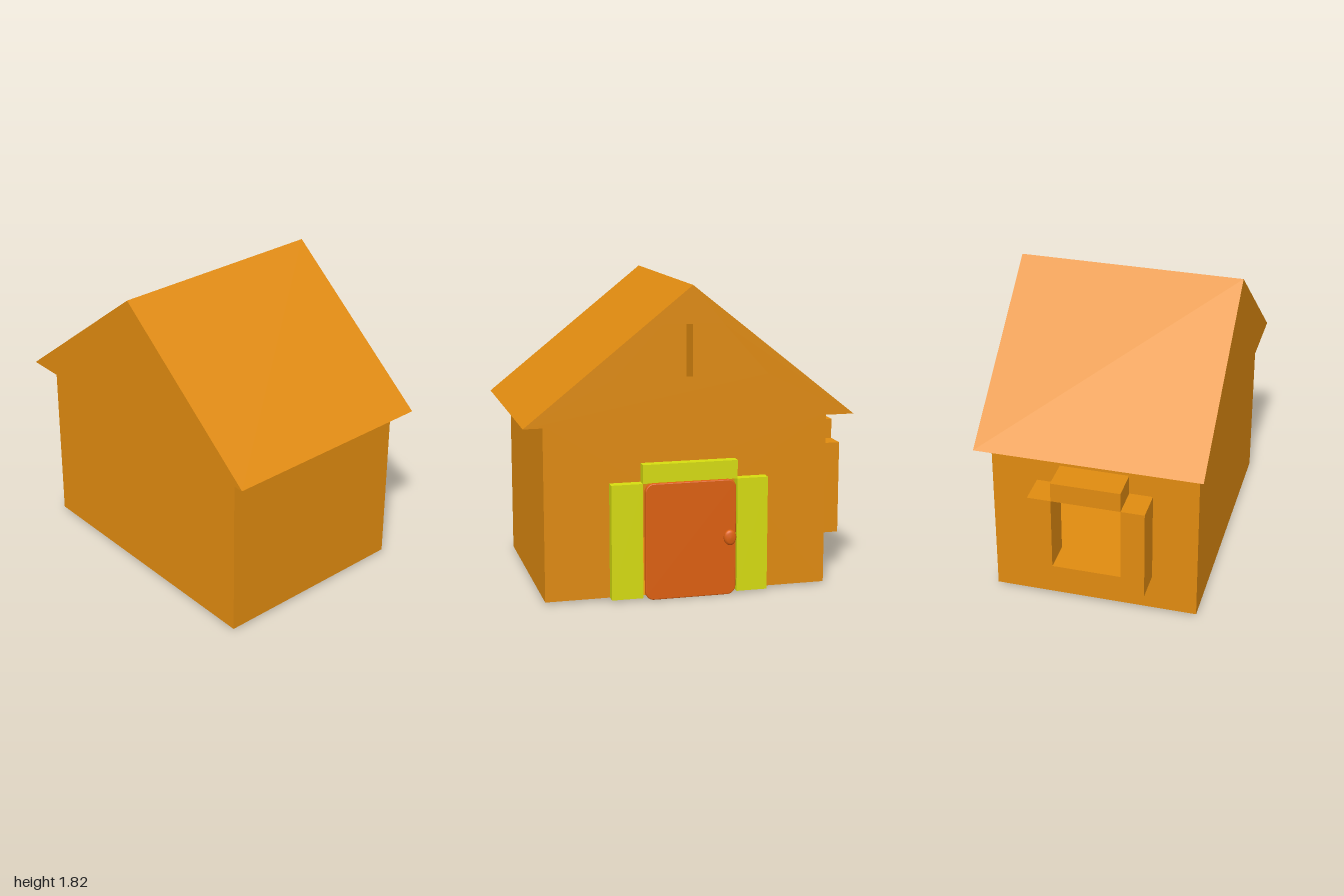
import * as THREE from 'three';

const paint = (color) => new THREE.MeshStandardMaterial({ color, side: THREE.DoubleSide });

// Closed outline from [u, v] points, with optional holes
function outline(points, ...holes) {
  const toVec = (list) => list.map(([u, v]) => new THREE.Vector2(u, v));
  const shape = new THREE.Shape(toVec(points));
  holes.forEach((h) => shape.holes.push(new THREE.Path(toVec(h))));
  return shape;
}

const rect = (u0, u1, v0, v1) => [[u0, v0], [u1, v0], [u1, v1], [u0, v1]];

// Turns [z, y] points into the sheet coordinates used by side-facing parts
const side = (points) => points.map(([z, y]) => [-z, y]);

// Flat four-cornered panel
function quad(a, b, c, d) {
  const g = new THREE.BufferGeometry();
  g.setAttribute('position', new THREE.Float32BufferAttribute([...a, ...b, ...c, ...a, ...c, ...d], 3));
  g.computeVertexNormals();
  return g;
}

export function createModel() {
  const model = new THREE.Group();
  const wood = paint(0xe08b10);
  const trim = paint(0xd6dc10);
  const red = paint(0xdd6010);

  function add(parent, name, geometry, material) {
    const mesh = new THREE.Mesh(geometry, material);
    mesh.name = name;
    parent.add(mesh);
    return mesh;
  }
  const group = (name) => {
    const g = new THREE.Group();
    g.name = name;
    model.add(g);
    return g;
  };
  // Sheet facing +x at a given x
  const sideSheet = (x, points, ...holes) =>
    new THREE.ShapeGeometry(outline(side(points), ...holes.map(side))).rotateY(Math.PI / 2).translate(x, 0, 0);

  // Hollow house body
  const X0 = -0.65, X1 = 0.58, Y0 = 0.01, Y1 = 1.04, Z0 = -0.81, Z1 = 0.88;
  const windowHole = rect(-0.24, 0.17, 0.345, 0.8);
  const walls = group('walls');
  add(walls, 'floor', quad([X0, Y0, Z1], [X1, Y0, Z1], [X1, Y0, Z0], [X0, Y0, Z0]), wood);
  add(walls, 'frontWall', quad([X0, Y0, Z1], [X1, Y0, Z1], [X1, Y1, Z1], [X0, Y1, Z1]), wood);
  add(walls, 'plainWall', sideSheet(X0, rect(Z0, Z1, Y0, Y1)), wood);
  add(walls, 'doorWall', sideSheet(X1, [
    [Z1, Y0], [Z1, Y1], [Z0, Y1], [Z0, Y0], [-0.25, Y0], [-0.25, 0.69], [0.315, 0.69], [0.315, Y0],
  ]), wood);
  add(walls, 'windowWall',
    new THREE.ShapeGeometry(outline(rect(X0, X1, Y0, Y1), windowHole)).translate(0, 0, Z0), wood);

  // Gabled roof with a shallow space behind the attic opening
  const R0 = -0.7, R1 = 0.635, ridge = [0.02, 1.82], front = [1, Y1], back = [-0.96, Y1];
  const gable = [front, back, ridge];
  const atticHole = [[0.48, 1.3], [-0.43, 1.3], [-0.16, 1.6], [0.2, 1.6]];
  const inner = R1 - 0.14;
  const roof = group('roof');
  const strip = ([za, ya], [zb, yb]) => quad([R0, ya, za], [R1, ya, za], [R1, yb, zb], [R0, yb, zb]);
  add(roof, 'frontSlope', strip(front, ridge), wood);
  add(roof, 'backSlope', strip(ridge, back), wood);
  add(roof, 'soffit', strip(back, front), wood);
  add(roof, 'plainGable', sideSheet(R0, gable), wood);
  add(roof, 'openGable', sideSheet(R1, gable, atticHole), wood);
  add(roof, 'atticBackWall', sideSheet(inner, gable), wood);
  add(roof, 'atticDivider',
    quad([inner, Y1, 0.02], [R1, Y1, 0.02], [R1, 1.82, 0.02], [inner, 1.82, 0.02]), wood);

  // Projecting window surround with a raised top bar
  const surround = outline([
    [-0.38, 0.235], [0.31, 0.235], [0.31, 0.8], [0.17, 0.8],
    [0.17, 0.92], [-0.24, 0.92], [-0.24, 0.8], [-0.38, 0.8],
  ], rect(-0.24, 0.17, 0.345, 0.7999));
  add(model, 'windowSurround',
    new THREE.ExtrudeGeometry(surround, { depth: 0.19, bevelEnabled: false }).translate(0, 0, -1), wood);

  // Door frame: two posts and a lintel
  const frame = group('doorFrame');
  [['leftPost', 0.315, 0.5, Y0, 0.69], ['rightPost', -0.435, -0.25, Y0, 0.69], ['lintel', -0.25, 0.315, 0.69, 0.8]]
    .forEach(([name, z0, z1, y0, y1]) => {
      add(frame, name, new THREE.BoxGeometry(0.06, y1 - y0, z1 - z0), trim)
        .position.set(0.61, (y0 + y1) / 2, (z0 + z1) / 2);
    });

  // Door leaf with rounded corners and a fine bevel
  const w = 0.265, h = 0.34, r = 0.045;
  const leaf = new THREE.Shape();
  leaf.absarc(w - r, h - r, r, 0, Math.PI / 2);
  leaf.absarc(r - w, h - r, r, Math.PI / 2, Math.PI);
  leaf.absarc(r - w, r - h, r, Math.PI, Math.PI * 1.5);
  leaf.absarc(w - r, r - h, r, Math.PI * 1.5, Math.PI * 2);
  const leafGeo = new THREE.ExtrudeGeometry(leaf, {
    depth: 0.02, bevelThickness: 0.006, bevelSize: 0.006, bevelSegments: 2, curveSegments: 8,
  });
  add(model, 'door', leafGeo.rotateY(Math.PI / 2).translate(0.634, 0.346, 0.034), red);

  // Oval door knob
  const profile = [[0, 0], [0.026, 0], [0.033, 0.005], [0.037, 0.014], [0.037, 0.024], [0.033, 0.034], [0.024, 0.04], [0, 0.042]]
    .map(([a, b]) => new THREE.Vector2(a, b));
  const knob = add(model, 'doorKnob',
    new THREE.LatheGeometry(profile, 24).rotateZ(-Math.PI / 2).scale(1, 1.25, 1), red);
  knob.position.set(0.658, 0.35, -0.195);

  return model;
}
